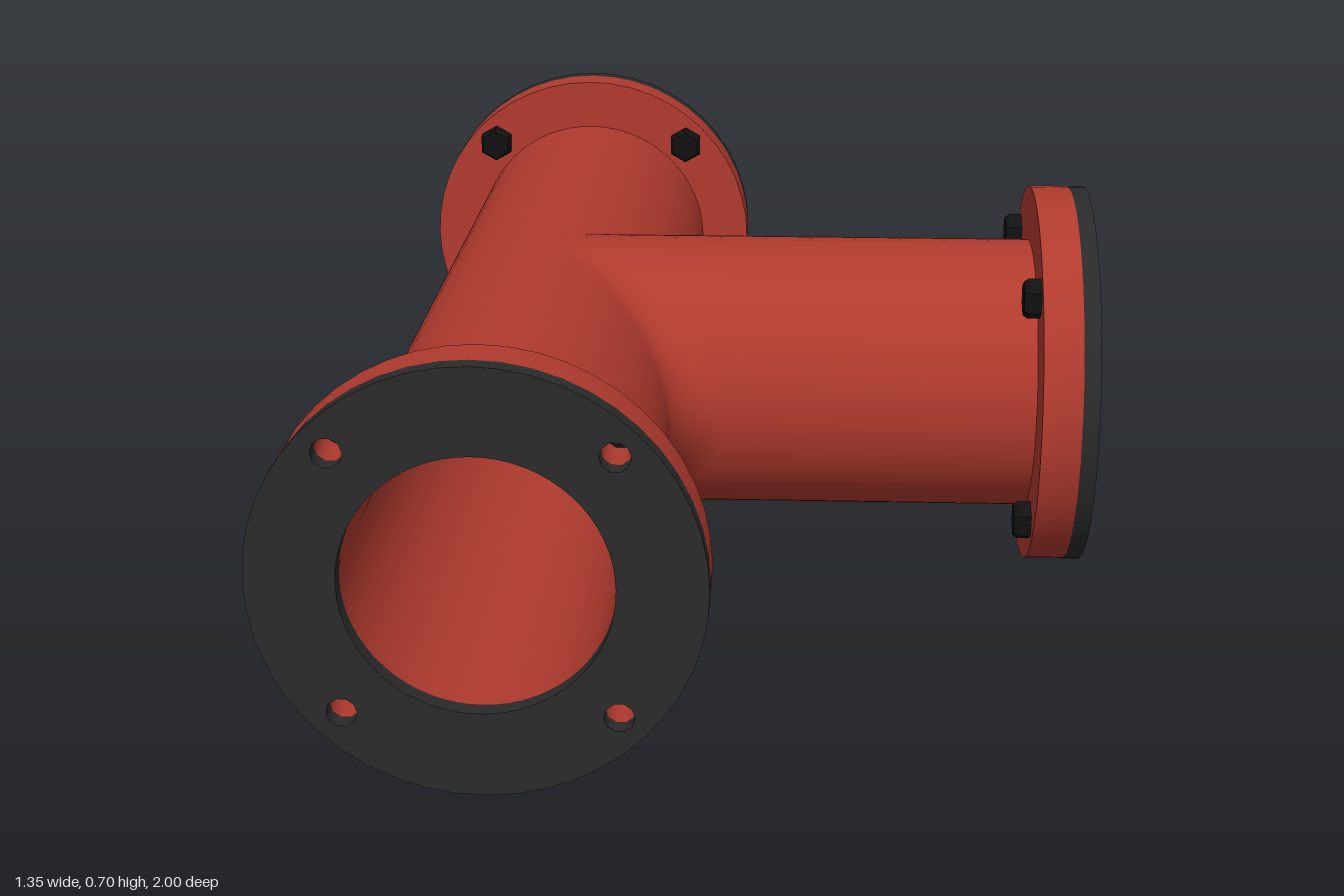
import * as THREE from 'three';
import { mergeGeometries, toCreasedNormals } from 'three/addons/utils/BufferGeometryUtils.js';

const OUTER = 0.25, BORE = 0.21, FILLET = 0.1; // pipe radii and blend radius
const REACH = 0.9;                             // axis crossing to back of flange
const FLANGE_R = 0.35, BOLT_CIRCLE = 0.3;

// Surface through rows of { p, n } points; flip turns it inside out.
function loft(rows, flip) {
  const pos = [], nor = [], idx = [], w = rows[0].length;
  for (const row of rows) {
    for (const { p, n } of row) {
      pos.push(p.x, p.y, p.z);
      nor.push(n.x, n.y, n.z);
    }
  }
  for (let i = 0; i < rows.length - 1; i++) {
    for (let j = 0; j < w - 1; j++) {
      const a = i * w + j, b = a + 1, c = a + w, d = c + 1;
      if (flip) idx.push(a, c, b, b, c, d);
      else idx.push(a, b, c, b, d, c);
    }
  }
  const g = new THREE.BufferGeometry();
  g.setAttribute('position', new THREE.Float32BufferAttribute(pos, 3));
  g.setAttribute('normal', new THREE.Float32BufferAttribute(nor, 3));
  g.setIndex(idx);
  return g;
}

// Tee shell: back half of the run, plus two mirrored sheets that turn
// from the run (z) into the branch (x) through a rolling-ball fillet.
function teeShell(R, f, inward) {
  const V = (x, y, z) => new THREE.Vector3(x, y, z);
  const N = 32, steps = f > 0 ? 12 : 1, side = inward ? -1 : 1;
  const parts = [];

  for (const m of [1, -1]) {
    const rows = [];
    for (let i = 0; i <= N; i++) {
      const t = (i / N - 0.5) * Math.PI, c = Math.cos(t), s = Math.sin(t);
      const n1 = V(c, s, 0), n2 = V(0, s, c);
      const centre = V(c, s, c).multiplyScalar(R + f);
      const row = [{ p: V(R * c, R * s, REACH), n: n1.clone() }];
      for (let k = 0; k <= steps; k++) {
        const n = n1.clone().lerp(n2, k / steps).normalize();
        row.push({ p: centre.clone().addScaledVector(n, -f), n });
      }
      row.push({ p: V(REACH, R * s, R * c), n: n2.clone() });
      for (const { p, n } of row) {
        p.z *= m;
        n.z *= m;
        n.multiplyScalar(side);
      }
      rows.push(row);
    }
    parts.push(loft(rows, inward !== (m < 0)));
  }

  const back = [];
  for (let i = 0; i <= N; i++) {
    const t = (i / N + 0.5) * Math.PI, c = Math.cos(t), s = Math.sin(t);
    back.push([REACH, -REACH].map(z => ({
      p: V(R * c, R * s, z), n: V(c, s, 0).multiplyScalar(side),
    })));
  }
  parts.push(loft(back, inward));
  return mergeGeometries(parts);
}

function circlePoints(r, n, cx = 0, cy = 0) {
  return Array.from({ length: n }, (_, i) => {
    const a = (i / n) * Math.PI * 2;
    return new THREE.Vector2(cx + r * Math.cos(a), cy + r * Math.sin(a));
  });
}

const boltCentres = [1, 3, 5, 7].map(k => [
  BOLT_CIRCLE * Math.cos(k * Math.PI / 4), BOLT_CIRCLE * Math.sin(k * Math.PI / 4),
]);

// Drilled ring from z to z + depth
function drilledRing(z, depth) {
  const shape = new THREE.Shape(circlePoints(FLANGE_R, 48));
  shape.holes.push(new THREE.Path(circlePoints(BORE, 64)));
  for (const [x, y] of boltCentres) {
    shape.holes.push(new THREE.Path(circlePoints(0.024, 10, x, y)));
  }
  const g = new THREE.ExtrudeGeometry(shape, { depth, bevelEnabled: false });
  g.translate(0, 0, z);
  return toCreasedNormals(g, 0.75);
}

// Chamfered hexagonal head pointing to -z
function boltHead() {
  const profile = [[0, 0], [0.037, 0], [0.037, 0.022], [0.031, 0.03], [0, 0.03]]
    .map(([r, y]) => new THREE.Vector2(r, y));
  const g = new THREE.LatheGeometry(profile, 6);
  g.rotateX(-Math.PI / 2);
  return toCreasedNormals(g, 0.3);
}

export function createModel() {
  const red = new THREE.MeshStandardMaterial({ color: 0xb03a2e });
  const rubber = new THREE.MeshStandardMaterial({ color: 0x2a2a2a });
  const steel = new THREE.MeshStandardMaterial({ color: 0x111111 });

  const model = new THREE.Group();
  model.name = 'pipeTee';
  const add = (parent, name, geometry, material) => {
    const mesh = new THREE.Mesh(geometry, material);
    mesh.name = name;
    parent.add(mesh);
    return mesh;
  };

  // Pipe walls
  add(model, 'pipeBody', teeShell(OUTER, FILLET, false), red);
  add(model, 'pipeBore', teeShell(BORE, 0, true), red);

  // Flange, gasket and bolts at each of the three ends
  const flange = drilledRing(REACH, 0.07);
  const gasket = drilledRing(REACH + 0.07, 0.03);
  const head = boltHead();
  const ends = { front: 0, back: Math.PI, branch: Math.PI / 2 };
  for (const [name, angle] of Object.entries(ends)) {
    const end = new THREE.Group();
    end.name = name + 'End';
    end.rotation.y = angle;
    add(end, name + 'Flange', flange, red);
    add(end, name + 'Gasket', gasket, rubber);
    boltCentres.forEach(([x, y], i) => {
      add(end, `${name}Bolt${i + 1}`, head, steel).position.set(x, y, REACH);
    });
    model.add(end);
  }

  model.position.set(-0.325, FLANGE_R, 0);
  const root = new THREE.Group();
  root.name = 'pipeFitting';
  root.add(model);
  return root;
}
